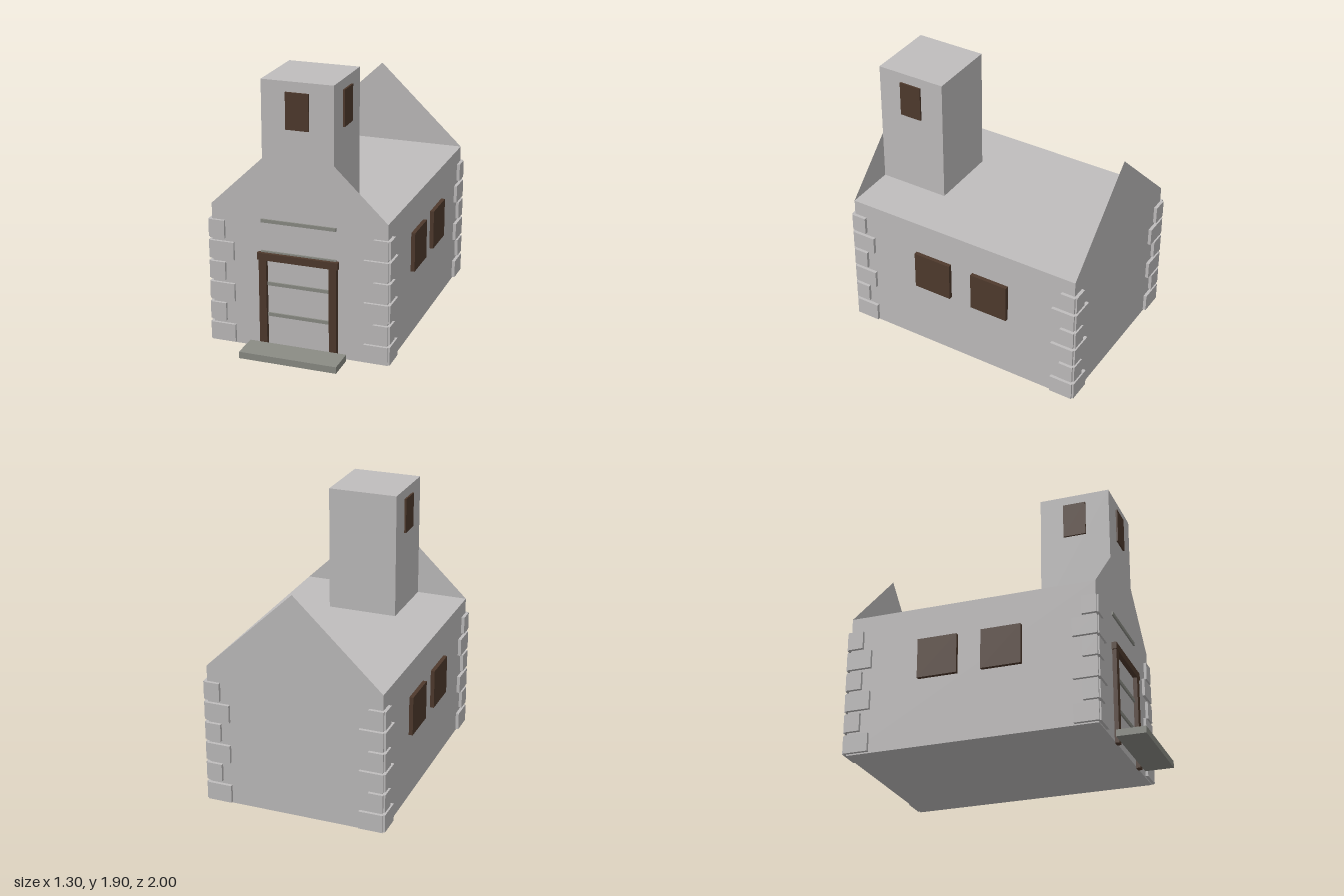
import * as THREE from 'three';

const wall = new THREE.MeshStandardMaterial({ color: 0xbfbdbd });
wall.name = 'wallStone';
const gableMat = wall.clone();
gableMat.name = 'wallStone';
gableMat.side = THREE.DoubleSide;
const wood = new THREE.MeshStandardMaterial({ color: 0x4f3a2d });
wood.name = 'darkWood';
const slate = new THREE.MeshStandardMaterial({ color: 0x8b8c85 });
slate.name = 'slateGrey';

export function createModel() {
  const group = new THREE.Group();

  // box from its extents
  const box = (name, mat, x0, x1, y0, y1, z0, z1) => {
    const mesh = new THREE.Mesh(new THREE.BoxGeometry(x1 - x0, y1 - y0, z1 - z0), mat);
    mesh.position.set((x0 + x1) / 2, (y0 + y1) / 2, (z0 + z1) / 2);
    mesh.name = name;
    group.add(mesh);
    return mesh;
  };
  // the same box on both sides of x = 0
  const pair = (name, mat, x0, x1, ...rest) => {
    box(name + 'Left', mat, x0, x1, ...rest);
    box(name + 'Right', mat, -x1, -x0, ...rest);
  };

  // main hall with a flat top, and the bell tower at the front
  const W = 0.62, EAVE = 1.01, FRONT = 0.77, BACK = -0.975;
  box('hall', wall, -W, W, 0.012, EAVE, BACK, FRONT);
  box('tower', wall, -0.25, 0.25, EAVE, 1.9, 0.27, FRONT);

  // sheet gables: full triangle at the back, shoulders beside the tower
  const gable = (name, points, z) => {
    const shape = new THREE.Shape(points.map(([x, y]) => new THREE.Vector2(x, y)));
    const mesh = new THREE.Mesh(new THREE.ShapeGeometry(shape), gableMat);
    mesh.position.z = z;
    mesh.name = name;
    group.add(mesh);
  };
  gable('backGable', [[-W, EAVE], [W, EAVE], [0, 1.6]], BACK);
  gable('frontGableLeft', [[0.25, EAVE], [W, EAVE], [0.25, 1.365]], FRONT);
  gable('frontGableRight', [[-W, EAVE], [-0.25, EAVE], [-0.25, 1.365]], FRONT);

  // tower and hall windows
  box('towerFrontWindow', wood, -0.08, 0.08, 1.58, 1.83, FRONT, 0.782);
  pair('towerSideWindow', wood, 0.25, 0.263, 1.58, 1.83, 0.44, 0.6);
  for (const z of [-0.47, -0.02]) pair('hallWindow', wood, W, 0.648, 0.49, 0.77, z, z + 0.28);

  // corner stones, alternately long and short, each of two slabs
  for (let i = 0; i < 6; i++) {
    const y0 = 0.022 + i * 0.15, y1 = y0 + 0.128;
    const len = i % 2 ? 0.095 : 0.16;
    pair('frontCornerStone', wall, W - len, 0.63, y0, y1, FRONT - 0.01, 0.79);
    pair('frontCornerSideStone', wall, W - 0.01, 0.643, y0, y1, FRONT - len, 0.78);
    pair('backCornerStone', wall, W - len, 0.63, y0, y1, -0.998, BACK + 0.01);
    pair('backCornerSideStone', wall, W - 0.01, 0.643, y0, y1, -0.986, BACK + len);
  }

  // doorway frame, ledges and step
  pair('doorPost', wood, 0.222, 0.275, 0, 0.66, FRONT, 0.8);
  box('doorLintel', wood, -0.285, 0.285, 0.66, 0.71, FRONT, 0.803);
  for (const y of [0.252, 0.475, 0.697, 0.92]) {
    box('doorLedge', slate, -0.265, 0.265, y, y + 0.024, FRONT, 0.781);
  }
  box('doorStep', slate, -0.345, 0.345, 0.015, 0.062, 0.8, 1);

  return group;
}
